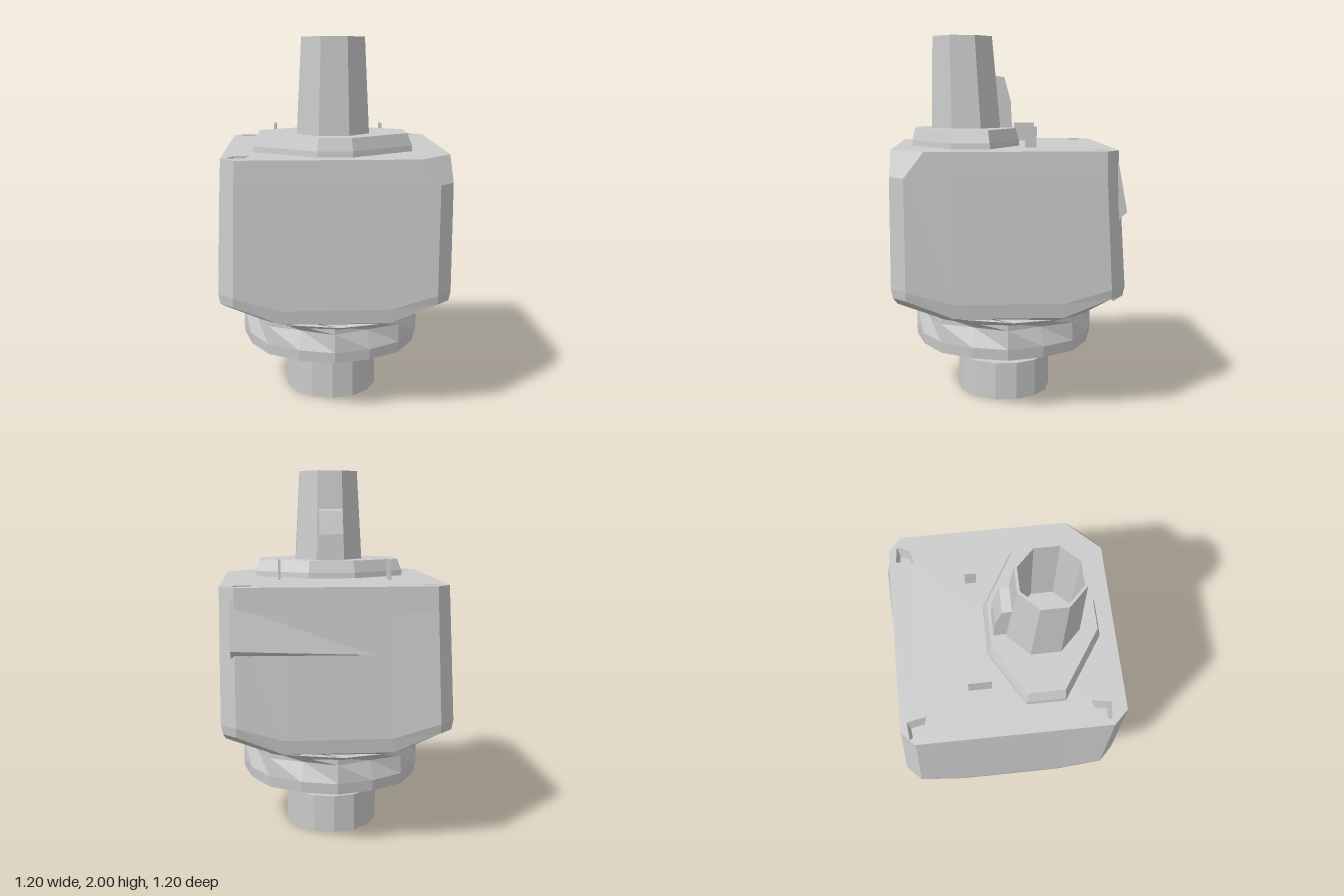
import * as THREE from 'three';
import { ConvexGeometry } from 'three/addons/geometries/ConvexGeometry.js';

const material = new THREE.MeshStandardMaterial({ color: 0xcccccc, flatShading: true });

// Skin a list of equal-length rings; optional fan cap on the last one.
function loft(rings, cap = false) {
  const n = rings[0].length, pos = [];
  for (let i = 0; i < rings.length - 1; i++) {
    for (let j = 0; j < n; j++) {
      const k = (j + 1) % n;
      const a = rings[i][j], b = rings[i][k], c = rings[i + 1][k], d = rings[i + 1][j];
      pos.push(...a, ...d, ...c, ...a, ...c, ...b);
    }
  }
  if (cap) {
    const last = rings[rings.length - 1];
    const mid = [0, 1, 2].map((q) => last.reduce((s, p) => s + p[q], 0) / n);
    for (let j = 0; j < n; j++) pos.push(...mid, ...last[(j + 1) % n], ...last[j]);
  }
  const g = new THREE.BufferGeometry();
  g.setAttribute('position', new THREE.Float32BufferAttribute(pos, 3));
  g.computeVertexNormals();
  return g;
}

// Regular ring; r may be a function of the side index.
function circle(n, y, r, cz = 0, turn = 0) {
  return Array.from({ length: n }, (_, j) => {
    const t = ((j + turn) / n) * Math.PI * 2, q = typeof r === 'function' ? r(j) : r;
    return [q * Math.cos(t), y, cz + q * Math.sin(t)];
  });
}

// Sixteen-point square ring with cut corners; y values for side and corner points.
function bodyRing(ySide, yCorner, h, left = h, back = h) {
  const quarter = [[h, -0.28], [h, 0.28], [h, 0.52], [0.52, h]];
  const ring = [];
  for (let k = 0; k < 4; k++) {
    quarter.forEach(([x, z], i) => {
      for (let r = 0; r < k; r++) [x, z] = [-z, x];
      ring.push([x < 0 ? (x * left) / h : x, i < 2 ? ySide : yCorner, z < 0 ? (z * back) / h : z]);
    });
  }
  return ring;
}

export function createModel() {
  const model = new THREE.Group();
  const add = (name, geometry) => {
    const mesh = new THREE.Mesh(geometry, material);
    mesh.name = name;
    model.add(mesh);
    return mesh;
  };

  // Housing: square block narrowing to a round underside, one bevelled top corner
  const top = bodyRing(1.41, 1.41, 0.595, 0.57, 0.555);
  top[2][2] = 0.42;
  top[3][0] = 0.42;
  const foot = circle(16, 0.5, 0.5);
  const shoulder = circle(16, 0.53, 0.56);
  // line the round rings up with the first point of the square rings
  const align = (ring) => ring.map((p) => {
    const t = -0.44, [x, y, z] = p;
    return [x * Math.cos(t) - z * Math.sin(t), y, x * Math.sin(t) + z * Math.cos(t)];
  });
  add('housing', loft([
    align(foot), align(shoulder),
    bodyRing(0.565, 0.66, 0.59), bodyRing(0.64, 0.71, 0.6),
    bodyRing(1.28, 1.28, 0.597, 0.577, 0.56), top,
  ]));

  // Lid with three screw pockets
  const lid = new THREE.Shape(top.map(([x, , z]) => new THREE.Vector2(x, -z)));
  const diamond = [[0.43, 0.42], [0.51, 0.44], [0.54, 0.51], [0.45, 0.52]];
  for (const [sx, sz] of [[-1, 1], [1, -1], [-1, -1]]) {
    let pts = diamond.map(([x, z]) => [x * sx, z * sz]);
    lid.holes.push(new THREE.Path(pts.map(([x, z]) => new THREE.Vector2(x, -z))));
    if (sx * sz > 0) pts.reverse();
    // loft from the rim downward, which turns the walls to face inward
    pts = pts.reverse();
    if (THREE.ShapeUtils.area(pts.map(([x, z]) => new THREE.Vector2(x, z))) < 0) pts.reverse();
    const rim = pts.map(([x, z]) => [x, 1.41, z]);
    const floor = pts.map(([x, z]) => [sx * 0.485 + (x - sx * 0.485) * 0.7, 1.33, sz * 0.475 + (z - sz * 0.475) * 0.7]);
    add('screwPocket', loft([rim, floor], true));
  }
  const lidGeometry = new THREE.ShapeGeometry(lid);
  lidGeometry.rotateX(-Math.PI / 2);
  lidGeometry.translate(0, 1.41, 0);
  add('lid', lidGeometry);

  // Raised ridge across the back wall
  add('backRidge', new ConvexGeometry([
    [0.54, 1.36, -0.55], [0.54, 1.1, -0.6], [0.54, 1.06, -0.56], [-0.4, 1.06, -0.565], [0.4, 1.2, -0.54],
  ].map((p) => new THREE.Vector3(...p))));

  // Collar on the lid
  const outline = [[0.42, 0.09], [0.42, 0.29], [0.09, 0.51], [-0.09, 0.51],
    [-0.42, 0.29], [-0.42, 0.09], [-0.13, -0.08], [0.13, -0.08]];
  const collarRing = (y, s) => outline.map(([x, z]) => [x * s, y, 0.23 + (z - 0.23) * s]);
  add('collar', loft([collarRing(1.4, 1), collarRing(1.44, 0.99), collarRing(1.505, 0.93)], true));

  // Hollow upper spout with a square socket in its floor
  const square = (y, r) => circle(8, y, 1, 0.23).map(([x, , z]) => {
    const m = r / Math.max(Math.abs(x), Math.abs(z - 0.23));
    return [x * m, y, 0.23 + (z - 0.23) * m];
  });
  add('spout', loft([
    circle(8, 1.48, 0.205, 0.21, 0.5), circle(8, 2, 0.175, 0.23, 0.5),
    circle(8, 2, 0.16, 0.23, 0.5), circle(8, 1.52, 0.15, 0.23, 0.5),
    square(1.52, 0.055), square(1.43, 0.025),
  ], true));

  // Key behind the spout
  const keyShape = new THREE.Shape([[0.06, 1.45], [0.06, 1.79], [0, 1.78], [-0.035, 1.65], [-0.045, 1.45]]
    .map(([z, y]) => new THREE.Vector2(z, y)));
  const key = new THREE.ExtrudeGeometry(keyShape, { depth: 0.13, bevelEnabled: false });
  key.translate(0, 0, -0.065);
  key.rotateY(-Math.PI / 2);
  add('spoutKey', key);

  // Thin upright tabs on the lid
  for (const [x, z, len] of [[-0.31, -0.135, 0.12], [0.29, -0.13, 0.06]]) {
    add('lidTab', new THREE.BoxGeometry(0.012, 0.12, len)).position.set(x, 1.46, z);
  }

  // Scalloped lower ring, open underneath
  const scallop = (peak, dip) => (j) => (j % 2 ? dip : peak);
  add('lowerRing', loft([
    circle(16, 0.43, 0.18), circle(16, 0.43, 0.38), circle(16, 0.31, 0.41),
    circle(16, 0.31, scallop(0.5, 0.49)), circle(16, 0.37, scallop(0.505, 0.495)),
    circle(16, 0.47, scallop(0.5, 0.46)), circle(16, 0.51, 0.5),
  ]));

  // Ribs inside the lower ring
  for (let i = 0; i < 8; i++) {
    const rib = add('ringRib', new THREE.BoxGeometry(0.2, 0.09, 0.04));
    const t = (i / 8) * Math.PI * 2;
    rib.position.set(0.3 * Math.cos(t), 0.39, 0.3 * Math.sin(t));
    rib.rotation.y = -t;
  }

  // Stem and foot
  add('stem', new THREE.CylinderGeometry(0.21, 0.21, 0.26, 14)).position.y = 0.32;
  add('foot', new THREE.CylinderGeometry(0.262, 0.262, 0.21, 14)).position.y = 0.105;

  return model;
}
